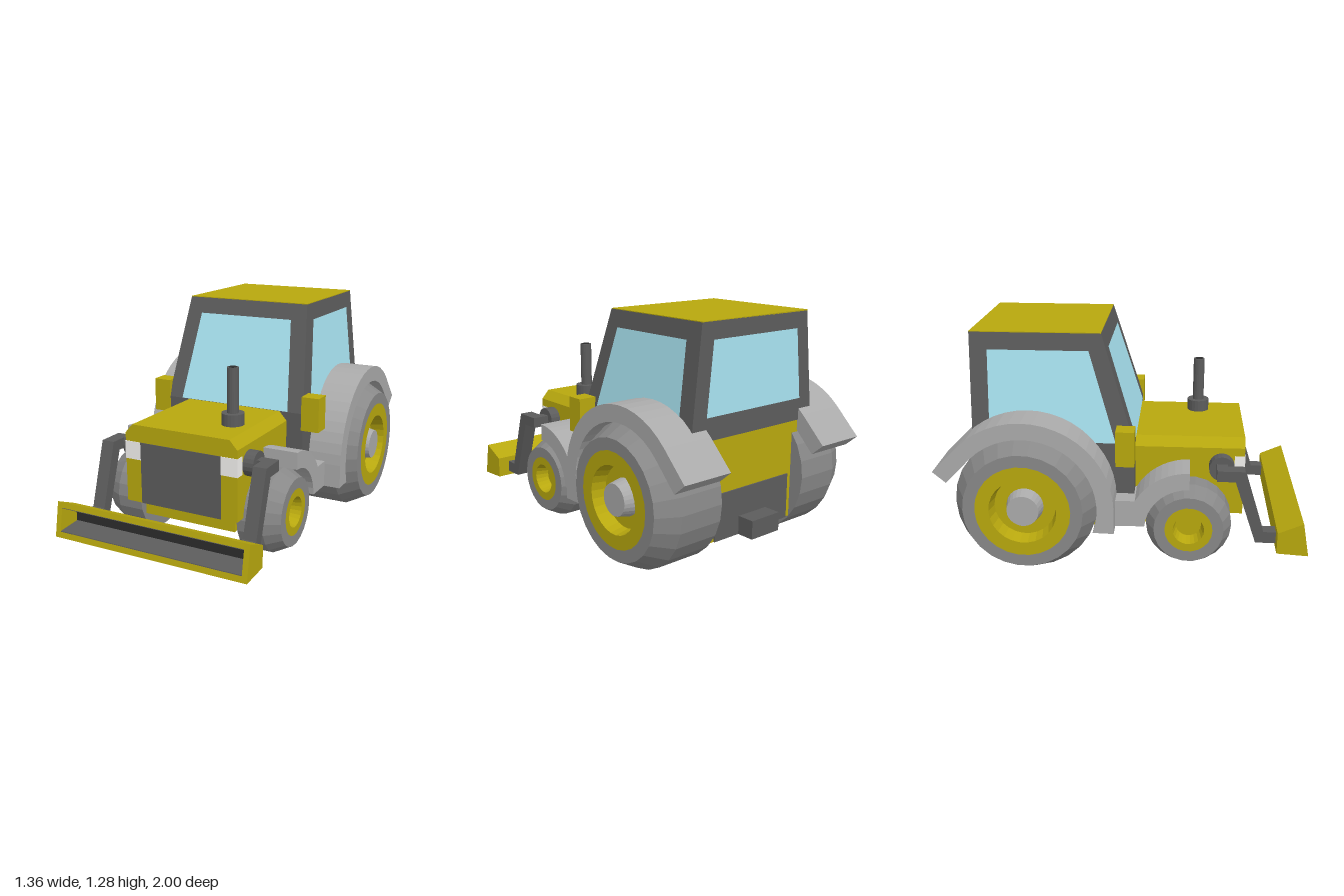
import * as THREE from 'three';

const mat = (color) => new THREE.MeshStandardMaterial({ color, flatShading: true, side: THREE.DoubleSide });

export function createModel() {
  const yellow = mat(0xb8a80e), dark = mat(0x5c5c5c), black = mat(0x2c2c2c);
  const grey = mat(0xaaaaaa), tyreGrey = mat(0x888888), glass = mat(0xa9e4f2), white = mat(0xf4f2f0);
  const model = new THREE.Group();
  model.name = 'tractor';

  const add = (name, geometry, material, parent = model) => {
    const mesh = new THREE.Mesh(geometry, material);
    mesh.name = name;
    parent.add(mesh);
  };
  // Box given by its extents on each axis
  const box = (name, material, x0, x1, y0, y1, z0, z1) => add(name,
    new THREE.BoxGeometry(x1 - x0, y1 - y0, z1 - z0)
      .translate((x0 + x1) / 2, (y0 + y1) / 2, (z0 + z1) / 2), material);
  // Side profile of [z, y] points, extruded from x0 to x1
  const profile = (name, material, pts, x0, x1) => add(name,
    new THREE.ExtrudeGeometry(new THREE.Shape(pts.map((p) => new THREE.Vector2(...p))),
      { depth: x1 - x0, bevelEnabled: false }).rotateY(-Math.PI / 2).translate(x1, 0, 0), material);
  // The same profile on one side (s = 1 left, -1 right)
  const sided = (name, material, pts, a, b, s) =>
    profile(name, material, pts, s > 0 ? a : -b, s > 0 ? b : -a);
  const arc = (cz, cy, r, from, to, n) => Array.from({ length: n + 1 }, (_, i) => {
    const a = THREE.MathUtils.degToRad(from + (to - from) * i / n);
    return [cz + r * Math.cos(a), cy + r * Math.sin(a)];
  });
  const quad = (name, material, a, b, c, d) => {
    const g = new THREE.BufferGeometry().setFromPoints(
      [a, b, c, a, c, d].map((p) => new THREE.Vector3(...p)));
    g.computeVertexNormals();
    add(name, g, material);
  };

  // Chassis, rear body and hitch
  box('chassis', yellow, -0.34, 0.34, 0.15, 0.42, -0.82, 0.06);
  box('frontChassis', yellow, -0.28, 0.28, 0.15, 0.26, 0.06, 0.57);
  box('rearBody', yellow, -0.43, 0.43, 0.4, 0.69, -0.82, -0.2);
  box('rearPanel', dark, -0.27, 0.27, 0.15, 0.4, -0.828, -0.8);
  box('hitch', dark, -0.1, 0.1, 0.15, 0.25, -0.925, -0.8);

  // Hood with chamfered top edges
  const hood = new THREE.Shape([[-0.34, 0.25], [0.34, 0.25], [0.34, 0.64], [0.295, 0.69], [-0.295, 0.69], [-0.34, 0.64]]
    .map((p) => new THREE.Vector2(...p)));
  add('hood', new THREE.ExtrudeGeometry(hood, { depth: 0.605, bevelEnabled: false }).translate(0, 0, 0.05), yellow);
  box('grille', dark, -0.245, 0.245, 0.25, 0.595, 0.64, 0.658);

  // Exhaust
  const cyl = (name, r, y0, y1, material) => add(name,
    new THREE.CylinderGeometry(r, r, y1 - y0, 20).translate(0.18, (y0 + y1) / 2, 0.4), material);
  cyl('exhaustBase', 0.0625, 0.68, 0.755, dark);
  cyl('exhaustPipe', 0.032, 0.755, 1.003, dark);
  cyl('exhaustOpening', 0.022, 1.0, 1.005, black);

  // Cab: a box narrowed towards the roof with a raked front
  const sideX = (y) => 0.44 - (y - 0.69) * 0.11;
  const frontZ = (y) => 0.055 - (y - 0.69) * 0.305;
  const cab = new THREE.BoxGeometry(2, 1, 1);
  const pos = cab.attributes.position;
  for (let i = 0; i < pos.count; i++) {
    const y = pos.getY(i) > 0 ? 1.276 : 0.69;
    pos.setXYZ(i, pos.getX(i) * sideX(y), y, pos.getZ(i) > 0 ? frontZ(y) : -0.825);
  }
  add('cab', cab, dark);
  box('cabBase', dark, -0.44, 0.44, 0.3, 0.69, -0.3, 0.055);
  box('roof', yellow, -0.375, 0.375, 1.274, 1.28, -0.825, -0.125);

  // Windows
  const e = 0.003;
  quad('windshield', glass, [-0.345, 0.692, frontZ(0.692) + e], [0.345, 0.692, frontZ(0.692) + e],
    [0.29, 1.188, frontZ(1.188) + e], [-0.29, 1.188, frontZ(1.188) + e]);
  quad('rearWindow', glass, [0.34, 0.81, -0.825 - e], [-0.34, 0.81, -0.825 - e],
    [-0.3, 1.188, -0.825 - e], [0.3, 1.188, -0.825 - e]);

  // Wheel: lathe sections of [radius, distance from the middle], turned onto the x axis
  const wheel = (name, s, y, z, segments, parts) => {
    const group = new THREE.Group();
    group.name = name;
    for (const [part, material, pts] of parts) {
      add(part, new THREE.LatheGeometry(pts.map((p) => new THREE.Vector2(...p)), segments), material, group);
    }
    group.rotation.z = -s * Math.PI / 2;
    group.position.set(0, y, z);
    model.add(group);
  };

  const rearFender = [
    ...arc(-0.52, 0.385, 0.478, 0, 135, 18), [-1, 0.58], [-0.93, 0.52],
    ...arc(-0.52, 0.385, 0.388, 135, -20, 20), [-0.042, 0.25],
  ];
  // Front fender arcs run from the top back towards the cab step
  const frontFender = [
    ...arc(0.355, 0.235, 0.335, 90, 150.5, 9), [-0.042, 0.4], [-0.042, 0.25],
    ...arc(0.355, 0.235, 0.24, 176, 90, 9),
  ];
  const arm = [[0.5, 0.57], [0.65, 0.57], [0.76, 0.22], [0.84, 0.22],
    [0.84, 0.155], [0.72, 0.155], [0.6, 0.51], [0.5, 0.51]];

  for (const s of [1, -1]) {
    const side = s > 0 ? 'left' : 'right';
    const at = (a, b) => (s > 0 ? [a, b] : [-b, -a]);

    wheel(side + 'RearWheel', s, 0.385, -0.52, 26, [
      ['tyre', tyreGrey, [[0, 0.3], [0.385, 0.3], [0.385, 0.56], [0.32, 0.68], [0.255, 0.68]]],
      ['rim', yellow, [[0.255, 0.68], [0.18, 0.68], [0.165, 0.6], [0, 0.6]]],
      ['hub', grey, [[0.1, 0.6], [0.085, 0.672], [0, 0.672]]],
    ]);
    wheel(side + 'FrontWheel', s, 0.235, 0.355, 22, [
      ['tyre', tyreGrey, [[0, 0.3], [0.235, 0.3], [0.235, 0.45], [0.19, 0.535], [0.13, 0.535]]],
      ['rim', yellow, [[0.13, 0.535], [0.085, 0.535], [0.07, 0.46], [0, 0.46]]],
    ]);
    sided(side + 'RearFender', grey, rearFender, 0.34, 0.635, s);
    sided(side + 'FrontFender', grey, frontFender, 0.34, 0.54, s);

    const x = (y) => s * (sideX(y) + e);
    quad(side + 'Window', glass, [x(0.692), 0.692, -0.045], [x(0.692), 0.692, -0.73],
      [x(1.185), 1.185, -0.73], [x(1.185), 1.185, -0.19]);

    box(side + 'CabLight', yellow, ...at(0.43, 0.535), 0.595, 0.79, -0.04, 0.06);
    box(side + 'Headlight', white, ...at(0.245, 0.342), 0.495, 0.595, 0.6, 0.658);

    // Bucket pivot and bent arm
    add(side + 'ArmPivot', new THREE.CylinderGeometry(0.07, 0.07, 0.1, 20)
      .rotateZ(Math.PI / 2).translate(s * 0.35, 0.54, 0.53), dark);
    box(side + 'PivotPin', dark, ...at(0.38, 0.43), 0.51, 0.57, 0.5, 0.56);
    sided(side + 'BucketArm', dark, arm, 0.425, 0.5, s);
    sided(side + 'BucketEnd', yellow, [[0.83, 0.13], [0.83, 0.25], [0.965, 0.31], [1, 0.12]], 0.54, 0.57, s);
  }

  // Bucket: hollow shell with a dark lining
  profile('bucketShell', yellow, [[0.83, 0.13], [0.83, 0.25], [0.965, 0.31], [0.971, 0.28],
    [0.85, 0.226], [0.85, 0.162], [0.994, 0.152], [1, 0.12]], -0.54, 0.54);
  profile('bucketLining', dark, [[0.85, 0.162], [0.85, 0.226], [0.971, 0.28], [0.972, 0.277],
    [0.855, 0.223], [0.855, 0.166], [0.993, 0.156], [0.994, 0.152]], -0.539, 0.539);
  box('bucketBack', black, -0.538, 0.538, 0.167, 0.222, 0.85, 0.858);

  return model;
}
